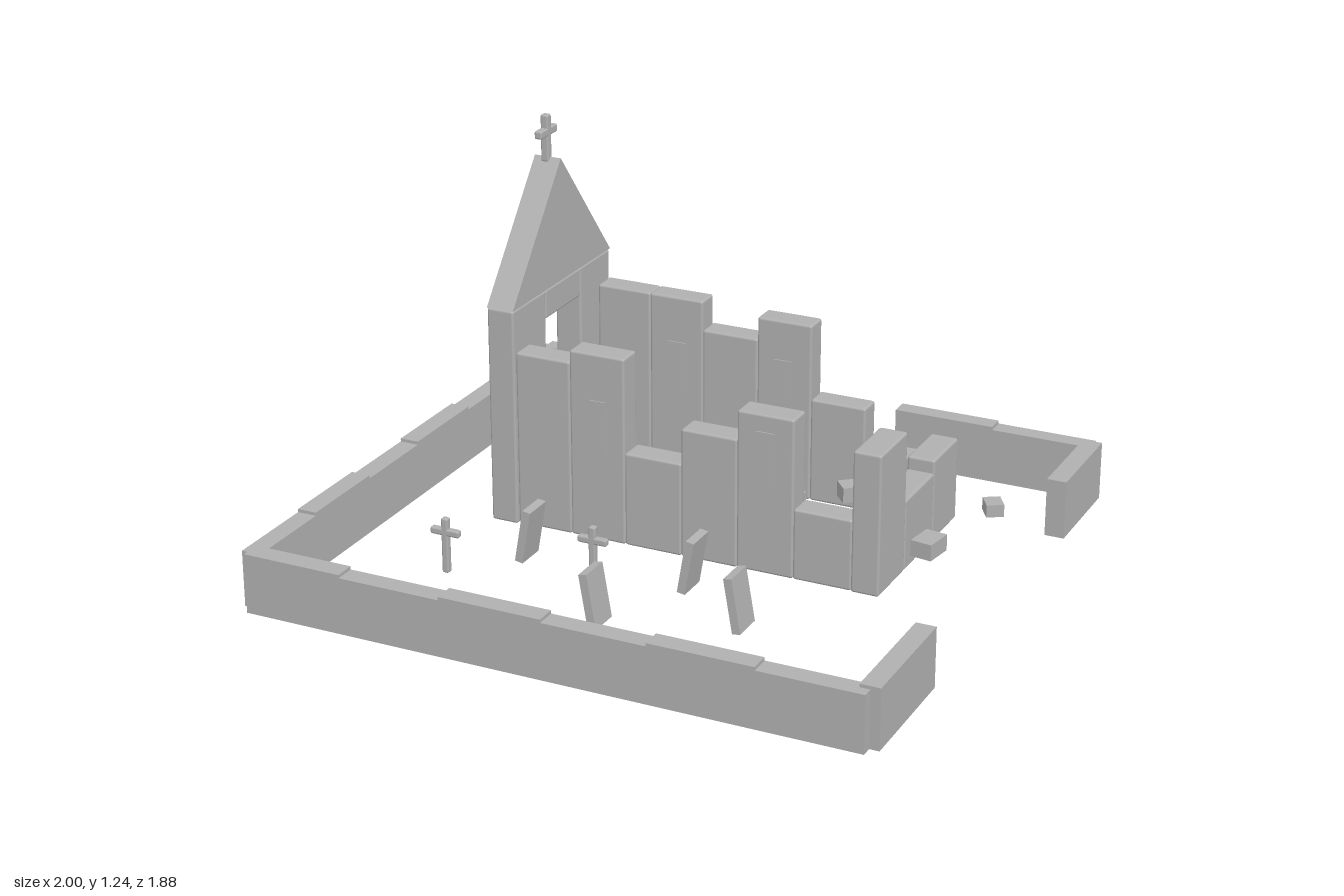
import * as THREE from 'three';
import { RoundedBoxGeometry } from 'three/addons/geometries/RoundedBoxGeometry.js';

const stone = new THREE.MeshStandardMaterial({ color: 0xb0b0b0 });
stone.name = 'grey stone';

function add(parent, name, geometry, x = 0, y = 0, z = 0) {
  const mesh = new THREE.Mesh(geometry, stone);
  mesh.name = name;
  mesh.position.set(x, y, z);
  parent.add(mesh);
  return mesh;
}

// Box given by its minimum and maximum on each axis, with optional rounded edges
function block(parent, name, [x0, x1], [y0, y1], [z0, z1], radius = 0) {
  const size = [x1 - x0, y1 - y0, z1 - z0];
  const geometry = radius ? new RoundedBoxGeometry(...size, 2, radius) : new THREE.BoxGeometry(...size);
  return add(parent, name, geometry, (x0 + x1) / 2, (y0 + y1) / 2, (z0 + z1) / 2);
}

// Upright cross in the xy plane, standing on its own origin
function cross(parent, name, height, span, armY, thick) {
  const group = new THREE.Group();
  group.name = name;
  const w = thick / 2;
  block(group, 'crossPost', [-w, w], [0, height], [-w, w], 0.006);
  block(group, 'crossArm', [-span / 2, span / 2], [armY - w, armY + w], [-w, w], 0.006);
  parent.add(group);
  return group;
}

function buildChapel() {
  const chapel = new THREE.Group();
  chapel.name = 'ruinedChapel';
  const R = 0.008;

  // Long walls made of broken stone columns
  const edges = [-0.58, -0.395, -0.21, -0.02, 0.165, 0.35, 0.54];
  const walls = [
    { name: 'frontWall', z: [-0.075, 0.01], heights: [0.57, 0.61, 0.305, 0.42, 0.515, 0.23], slits: [-0.3, 0.257] },
    { name: 'backWall', z: [-0.62, -0.54], heights: [0.61, 0.61, 0.515, 0.59, 0.345, 0.21], slits: [-0.3, 0.07] },
  ];
  for (const { name, z, heights, slits } of walls) {
    heights.forEach((h, i) => block(chapel, name + 'Column', [edges[i], edges[i + 1]], [0, h], z, R));
    // Shallow window panels on both faces
    for (const x of slits) {
      for (const face of z) {
        block(chapel, name + 'Window', [x - 0.03, x + 0.03], [0.28, 0.46], [face - 0.004, face + 0.004]);
      }
    }
  }

  // Broken end wall
  const spans = [[-0.19, 0.015], [-0.42, -0.19], [-0.62, -0.42]];
  [0.455, 0.23, 0.27].forEach((h, i) => block(chapel, 'endWall', [0.54, 0.63], [0, h], spans[i], R));

  // Gable end with an opening
  const gx = [-0.67, -0.58];
  block(chapel, 'gablePillar', gx, [0, 0.705], [-0.19, 0.02], R);
  block(chapel, 'gablePillar', gx, [0, 0.705], [-0.62, -0.42], R);
  block(chapel, 'gableSill', gx, [0, 0.25], [-0.42, -0.19], R);
  block(chapel, 'gableLintel', gx, [0.61, 0.705], [-0.42, -0.19], R);

  const triangle = new THREE.Shape([
    new THREE.Vector2(-0.02, 0.705), new THREE.Vector2(0.625, 0.705), new THREE.Vector2(0.3025, 1.1),
  ]);
  const gable = add(chapel, 'gable', new THREE.ExtrudeGeometry(triangle, { depth: 0.09, bevelEnabled: false }), -0.67);
  gable.rotation.y = Math.PI / 2;

  const roofCross = cross(chapel, 'gableCross', 0.15, 0.105, 0.095, 0.026);
  roofCross.position.set(-0.63, 1.085, -0.3025);
  roofCross.rotation.y = Math.PI / 2;
  return chapel;
}

function buildBoundary() {
  const boundary = new THREE.Group();
  boundary.name = 'boundaryWall';
  // A run of wall segments with slightly stepped tops
  const run = (name, joints, across, alongX) => {
    for (let i = 0; i + 1 < joints.length; i++) {
      const span = [joints[i], joints[i + 1]];
      const y = [0.02, i % 2 ? 0.198 : 0.208];
      if (alongX) block(boundary, name, span, y, across);
      else block(boundary, name, across, y, span);
    }
  };
  run('frontBoundary', [-0.97, -0.65, -0.325, 0, 0.325, 0.65, 0.97], [0.875, 0.94], true);
  run('backBoundary', [-0.97, -0.65, -0.325, 0], [-0.945, -0.885], true);
  run('backBoundary', [0.315, 0.645, 0.97], [-0.945, -0.885], true);
  run('sideBoundary', [-0.915, -0.615, -0.31, 0.01, 0.3, 0.605, 0.905], [-1, -0.938], false);
  run('sideBoundary', [-0.915, -0.575], [0.938, 1], false);
  run('sideBoundary', [0.505, 0.905], [0.938, 1], false);
  return boundary;
}

function buildGraveyard() {
  const graves = new THREE.Group();
  graves.name = 'graveyard';
  // Leaning headstones: x, z, lean
  for (const [x, z, lean] of [[-0.36, 0.335, -1], [0.167, 0.317, -1], [0.395, 0.487, 1], [0.015, 0.64, 1]]) {
    const slab = add(graves, 'headstone', new THREE.BoxGeometry(0.026, 0.17, 0.1), x, 0.152, z);
    slab.rotation.z = lean * 0.17;
  }
  for (const [x, z] of [[-0.1, 0.43], [-0.515, 0.565]]) {
    cross(graves, 'graveCross', 0.175, 0.095, 0.13, 0.022).position.set(x, 0.085, z);
  }
  // Fallen stones: x, z, width, depth, height, turn
  const stones = [
    [0.015, -0.408, 0.06, 0.05, 0.045, -0.35], [0.36, -0.425, 0.08, 0.065, 0.05, 0.7],
    [0.205, -0.25, 0.11, 0.09, 0.06, 0], [0.795, -0.5, 0.055, 0.065, 0.04, 0.55],
    [0.718, -0.158, 0.07, 0.095, 0.052, -0.15],
  ];
  for (const [x, z, w, d, h, turn] of stones) {
    add(graves, 'fallenStone', new THREE.BoxGeometry(w, h, d), x, 0.117, z).rotation.y = turn;
  }
  return graves;
}

export function createModel() {
  const model = new THREE.Group();
  model.name = 'chapelRuin';
  model.add(buildChapel(), buildBoundary(), buildGraveyard());
  return model;
}
